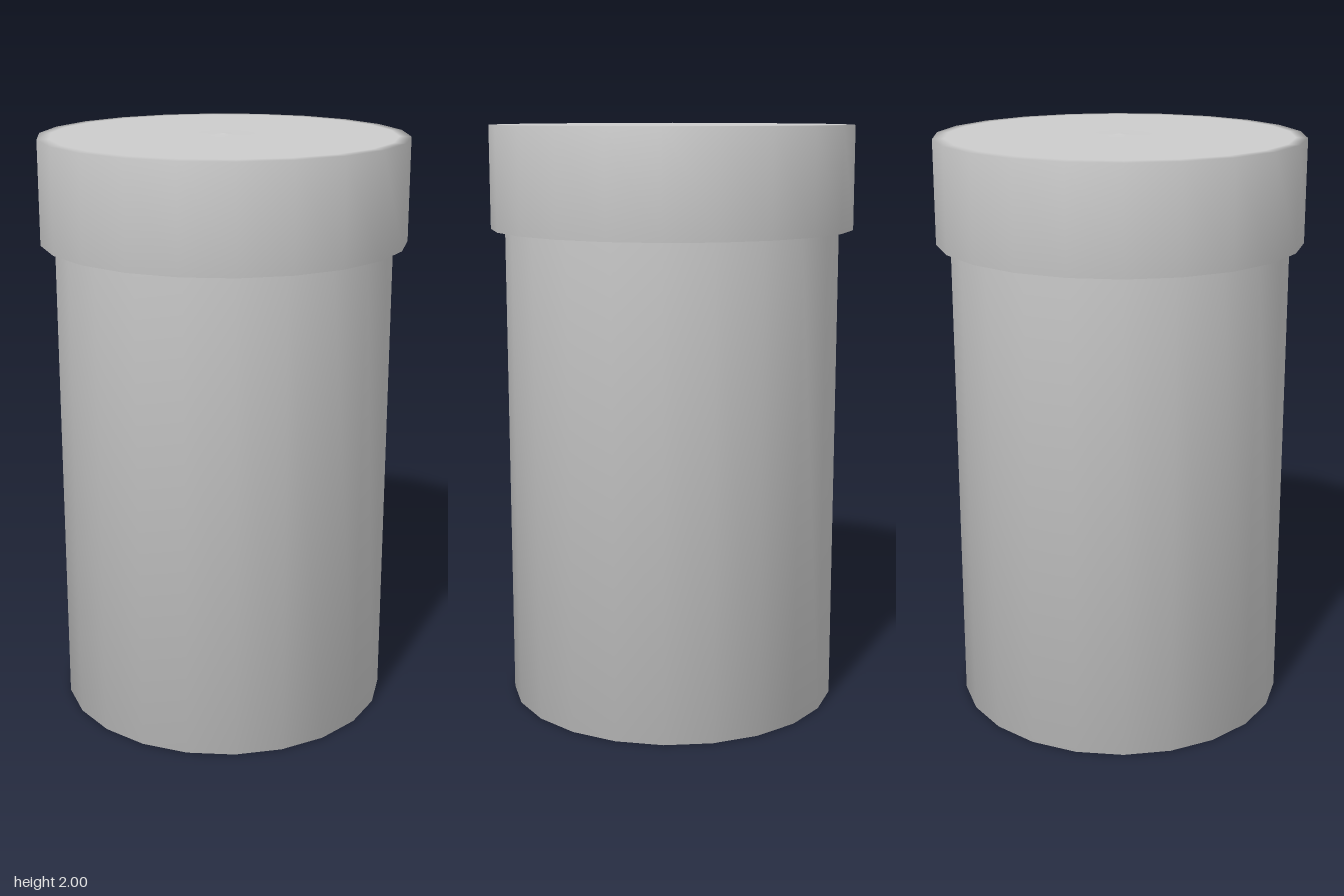
import * as THREE from 'three';

const SIDES = 22;

// Profile from the bottom centre, up the outside, to the tip on top
const PROFILE = [
  [0, 0], [0.571, 0], [0.571, 1.647], // base and wall
  [0.619, 1.647], [0.619, 1.994], // lid lip and lid side
  [0.58, 1.995], [0.12, 1.995], [0.03, 1.996], [0, 2], // lid top and centre nub
].map(([r, y]) => new THREE.Vector2(r, y));

// Revolves the whole profile, so normals flow from part to part, and keeps bands from..to
function revolvedPart(name, from, to, material) {
  const geometry = new THREE.LatheGeometry(PROFILE, SIDES);
  const bands = PROFILE.length - 1;
  const all = geometry.index.array;
  const kept = [];
  for (let side = 0; side < SIDES; side++) {
    const start = side * bands;
    kept.push(...all.slice((start + from) * 6, (start + to) * 6));
  }
  geometry.setIndex(kept);
  const mesh = new THREE.Mesh(geometry, material);
  mesh.name = name;
  return mesh;
}

export function createModel() {
  const model = new THREE.Group();
  model.name = 'liddedCanister';
  const material = new THREE.MeshStandardMaterial({ color: 0xcccccc });
  model.add(
    revolvedPart('body', 0, 2, material),
    revolvedPart('lid', 2, 6, material),
    revolvedPart('lidNub', 6, 8, material),
  );
  return model;
}
